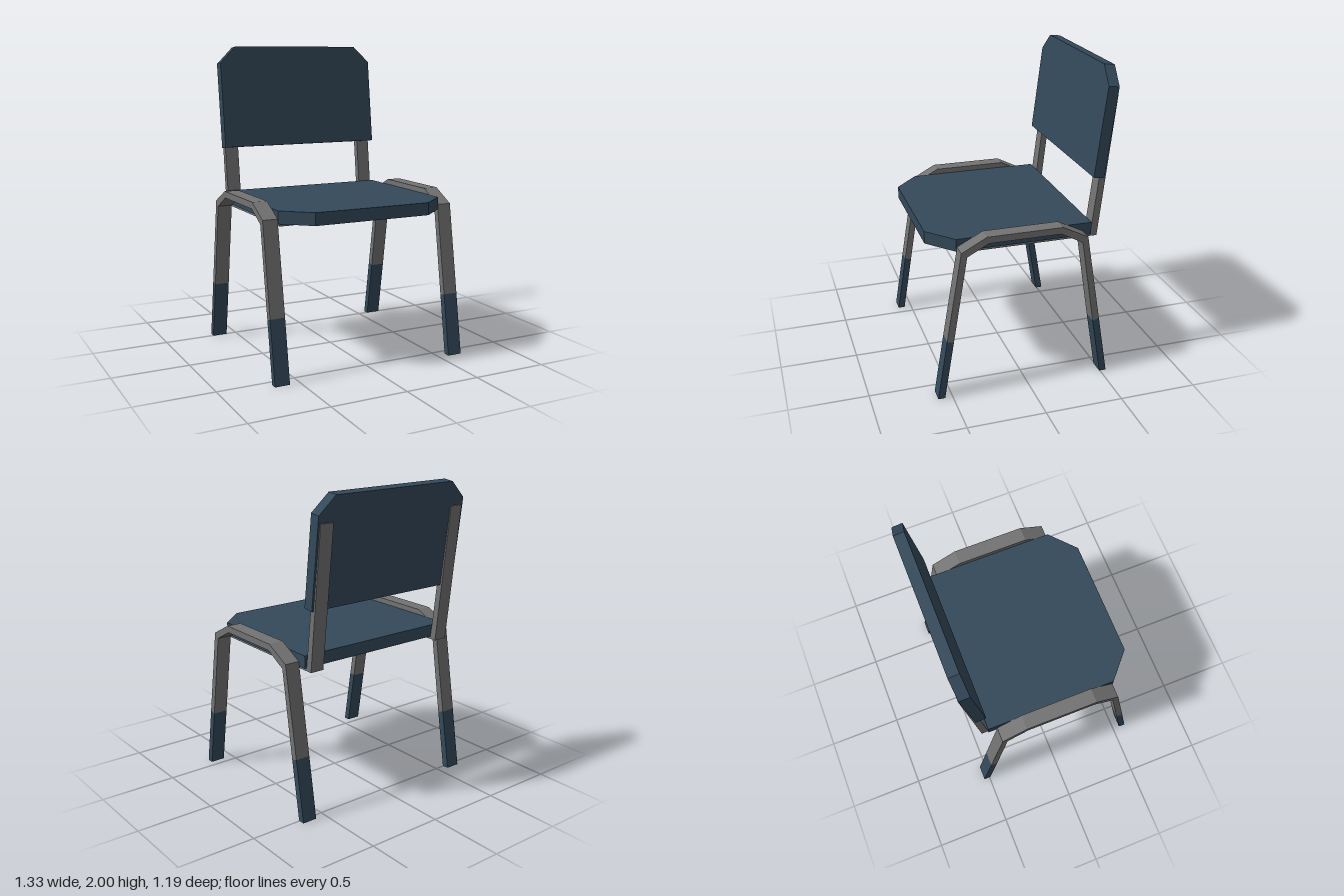
import * as THREE from 'three';

const navy = new THREE.MeshStandardMaterial({ color: 0x34495a });
navy.name = 'navy';
const grey = new THREE.MeshStandardMaterial({ color: 0x737373 });
grey.name = 'grey';

// Extrude an outline given as [a, b] pairs
function extrude(points, depth) {
  const shape = new THREE.Shape(points.map(([a, b]) => new THREE.Vector2(a, b)));
  return new THREE.ExtrudeGeometry(shape, { depth, bevelEnabled: false });
}

// Side outline in (z, y), extruded to a strip of the given width centred on x
function sideStrip(name, points, width, x, material) {
  const geometry = extrude(points, width).rotateY(-Math.PI / 2).translate(x + width / 2, 0, 0);
  const mesh = new THREE.Mesh(geometry, material);
  mesh.name = name;
  return mesh;
}

export function createModel() {
  const chair = new THREE.Group();
  chair.name = 'chair';

  // Seat with clipped front corners
  const seat = new THREE.Mesh(
    extrude([[-0.568, -0.437], [0.568, -0.437], [0.568, 0.435], [0.395, 0.59], [-0.395, 0.59], [-0.568, 0.435]], 0.08)
      .rotateX(Math.PI / 2).translate(0, 1.03, 0), navy);
  seat.name = 'seat';
  chair.add(seat);

  // Tilted backrest with clipped top corners
  const backrest = new THREE.Mesh(
    extrude([[-0.568, 0], [0.568, 0], [0.568, 0.57], [0.455, 0.68], [-0.455, 0.68], [-0.568, 0.57]], 0.07)
      .translate(0, 0, -0.07), navy);
  backrest.position.set(0, 1.325, -0.44);
  backrest.rotation.x = -0.125;
  backrest.name = 'backrest';
  chair.add(backrest);

  for (const side of [-1, 1]) {
    const label = side > 0 ? 'left' : 'right';

    // Bent side frame, upper part of both legs and the arch between them
    chair.add(sideStrip(label + 'Frame', [
      [0.528, 0.398], [0.43, 0.98], [0.27, 1.065], [-0.21, 1.065], [-0.377, 0.98], [-0.474, 0.398],
      [-0.431, 0.386], [-0.343, 0.945], [-0.2, 1.022], [0.26, 1.022], [0.394, 0.95], [0.486, 0.386],
    ], 0.097, side * 0.617, grey));

    // Coloured leg ends
    chair.add(sideStrip(label + 'FrontLegEnd',
      [[0.593, 0], [0.528, 0.398], [0.486, 0.386], [0.549, 0]], 0.097, side * 0.617, navy));
    chair.add(sideStrip(label + 'BackLegEnd',
      [[-0.54, 0], [-0.495, 0], [-0.431, 0.386], [-0.474, 0.398]], 0.097, side * 0.617, navy));

    // Flat bar running under the seat and up behind the backrest
    chair.add(sideStrip(label + 'BackSupport', [
      [0.425, 0.932], [0.425, 0.95], [-0.437, 0.95], [-0.545, 1.84],
      [-0.582, 1.835], [-0.48, 0.932],
    ], 0.092, side * 0.509, grey));
  }
  return chair;
}
